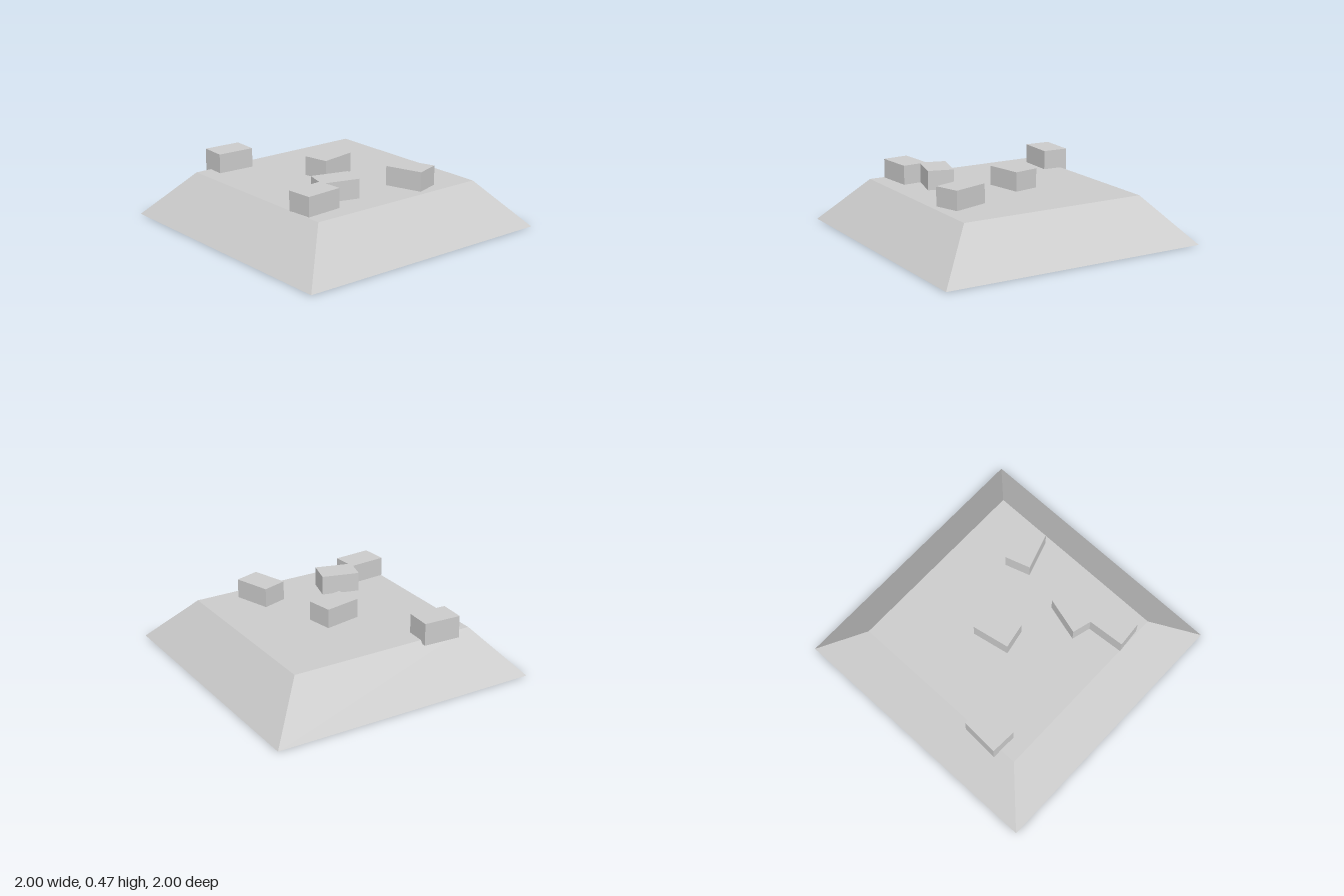
import * as THREE from 'three';

export function createModel() {
  const model = new THREE.Group();
  const grey = new THREE.MeshStandardMaterial({ color: 0xcccccc });
  grey.name = 'light grey';

  // Square platform: a box whose top corners are pulled inwards
  const height = 0.33;
  const platformShape = new THREE.BoxGeometry(2, height, 2).translate(0, height / 2, 0);
  const p = platformShape.attributes.position;
  for (let i = 0; i < p.count; i++) {
    if (p.getY(i) > height / 2) p.setXYZ(i, p.getX(i) * 0.7, height, p.getZ(i) * 0.7);
  }
  platformShape.computeVertexNormals();
  const platform = new THREE.Mesh(platformShape, grey);
  platform.name = 'platform';
  model.add(platform);

  // Scattered blocks, sunk slightly into the platform: x, z, turn
  const blocks = new THREE.Group();
  blocks.name = 'blocks';
  const blockShape = new THREE.BoxGeometry(0.19, 0.162, 0.277);
  [
    [-0.086, -0.022, 0.19],
    [0.494, -0.288, -1.26],
    [0.368, 0.287, -0.27],
    [0.482, 0.557, 0.08],
    [-0.662, 0.438, -0.05],
  ].forEach(([x, z, turn], i) => {
    const block = new THREE.Mesh(blockShape, grey);
    block.name = `block${i + 1}`;
    block.position.set(x, 0.389, z);
    block.rotation.y = turn;
    blocks.add(block);
  });
  model.add(blocks);

  return model;
}
